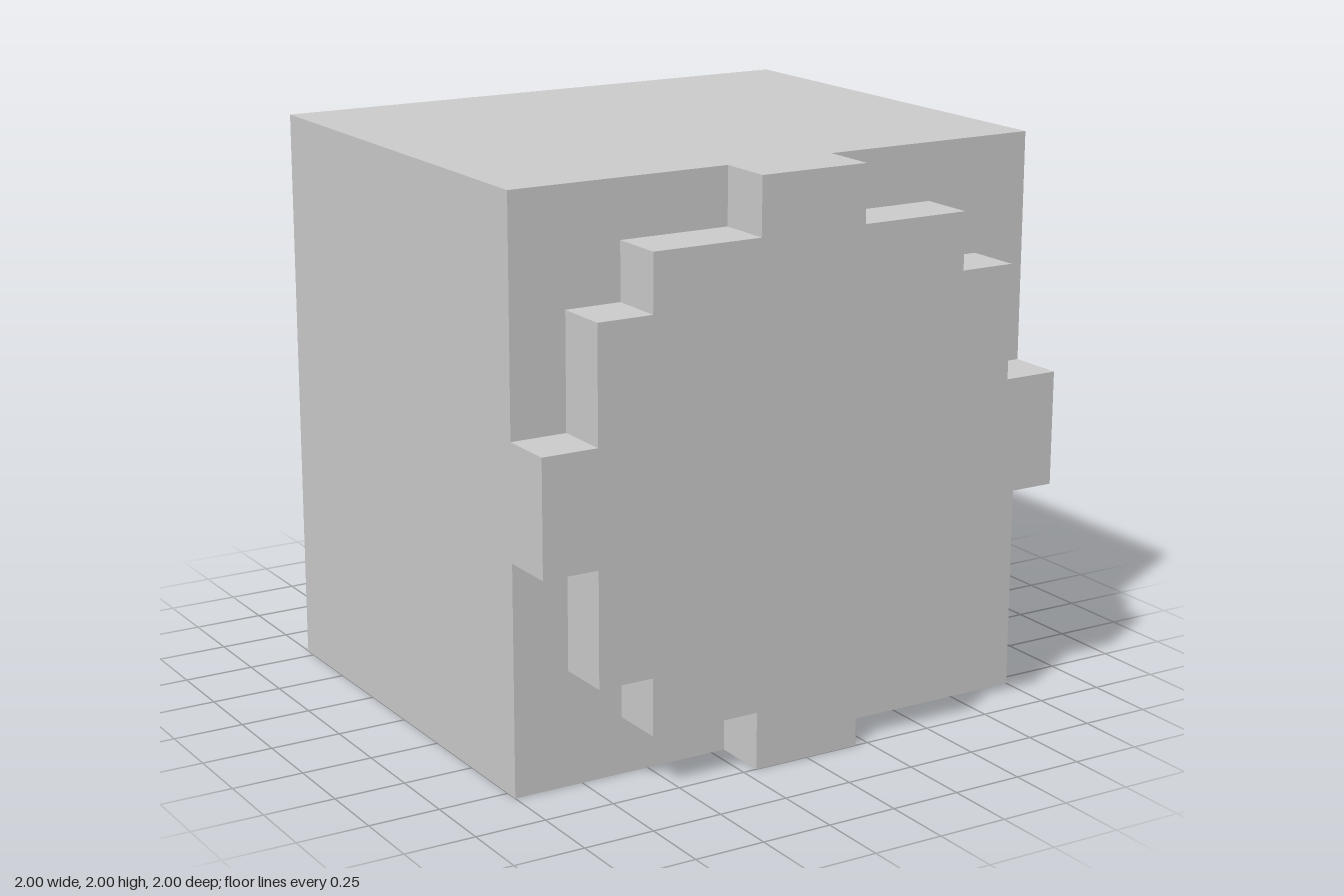
import * as THREE from 'three';

const material = new THREE.MeshStandardMaterial({ color: 0xcccccc, flatShading: true });

// Stepped plate: one corner's outline, repeated by quarter turns and extruded along z
function steppedPlate(name, corner, z, depth) {
  const points = [];
  for (let turn = 0; turn < 4; turn++) {
    for (const [x, y] of corner) {
      const p = new THREE.Vector2(x, y);
      for (let i = 0; i < turn; i++) p.set(-p.y, p.x);
      points.push(p);
    }
  }
  const geometry = new THREE.ExtrudeGeometry(new THREE.Shape(points), { depth, bevelEnabled: false });
  const mesh = new THREE.Mesh(geometry, material);
  mesh.name = name;
  mesh.position.set(0, 1, z);
  return mesh;
}

export function createModel() {
  const model = new THREE.Group();
  model.name = 'steppedBlock';

  // Main block
  const body = new THREE.Mesh(new THREE.BoxGeometry(2, 2, 1.6), material);
  body.name = 'body';
  body.position.y = 1;
  model.add(body);

  // Front plate: stepped disc with four tabs reaching the block's edges
  model.add(steppedPlate('frontPlate',
    [[1, 0.2], [0.8, 0.2], [0.8, 0.6], [0.6, 0.6], [0.6, 0.8], [0.2, 0.8], [0.2, 1]], 0.8, 0.2));

  // Back plate: square with notched corners
  model.add(steppedPlate('backPlate', [[0.8, 0.6], [0.6, 0.6], [0.6, 0.8]], -1, 0.2));

  return model;
}
